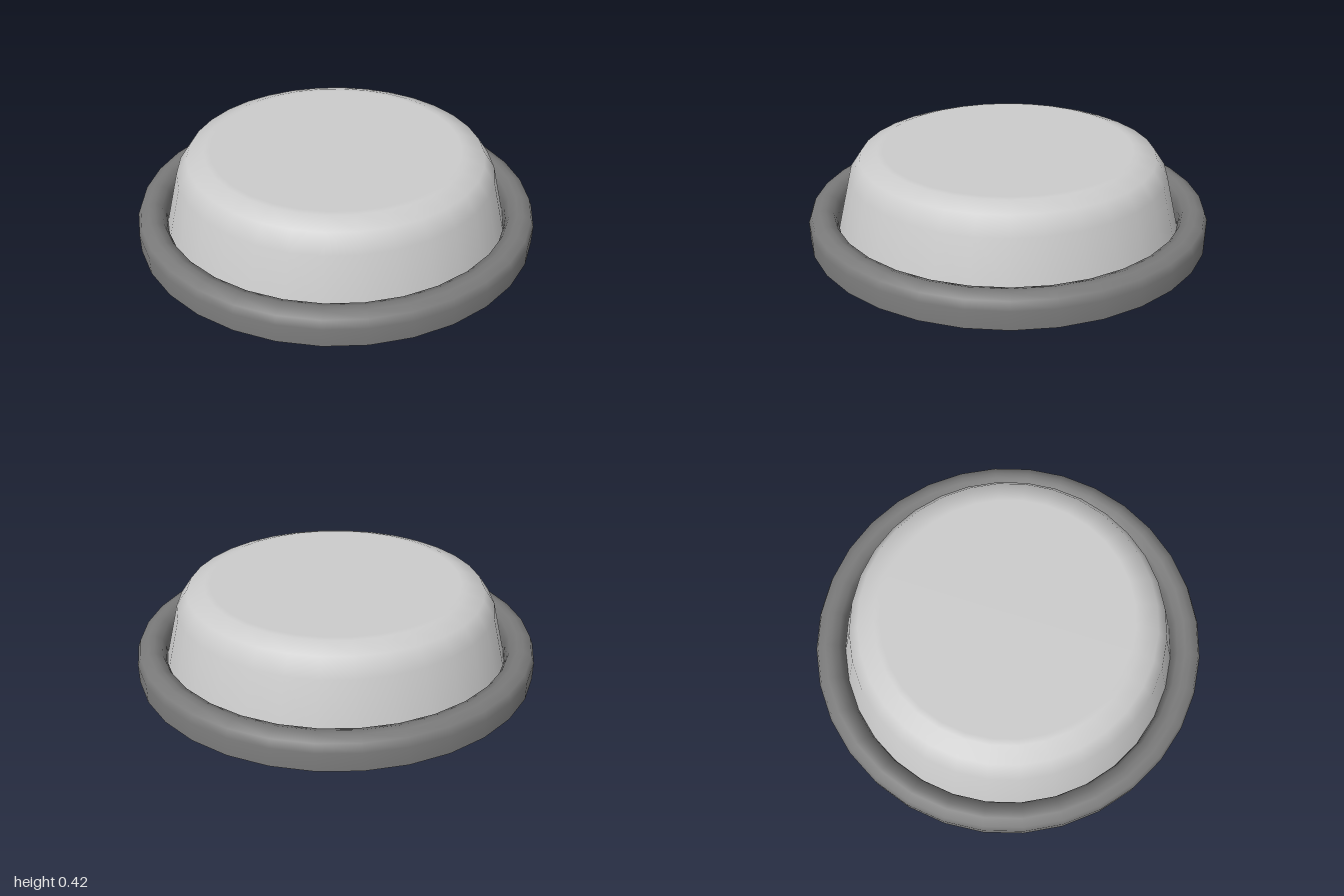
import * as THREE from 'three';

const SEGMENTS = 32;

// Thin turned shell from a profile of [radius, height] points
function turned(name, color, profile) {
  const points = profile.map(([r, y]) => new THREE.Vector2(r, y));
  const mesh = new THREE.Mesh(
    new THREE.LatheGeometry(points, SEGMENTS),
    new THREE.MeshStandardMaterial({ color, side: THREE.DoubleSide })
  );
  mesh.name = name;
  return mesh;
}

export function createModel() {
  const model = new THREE.Group();
  model.name = 'roundLamp';

  // Hollow cover with sloping wall, rounded shoulder and flat top
  model.add(turned('cover', 0xcccccc, [
    [0.857, 0.045], [0.79, 0.31], [0.735, 0.39], [0.65, 0.42], [0.62, 0.42], [0, 0.42],
  ]));

  // Rolled rim, open underneath, its inner lip meeting the cover's edge
  model.add(turned('rim', 0x7a7a7a, [
    [1, 0], [1, 0.09], [0.985, 0.128], [0.945, 0.144],
    [0.915, 0.144], [0.878, 0.128], [0.862, 0.09], [0.857, 0.045],
  ]));

  return model;
}
